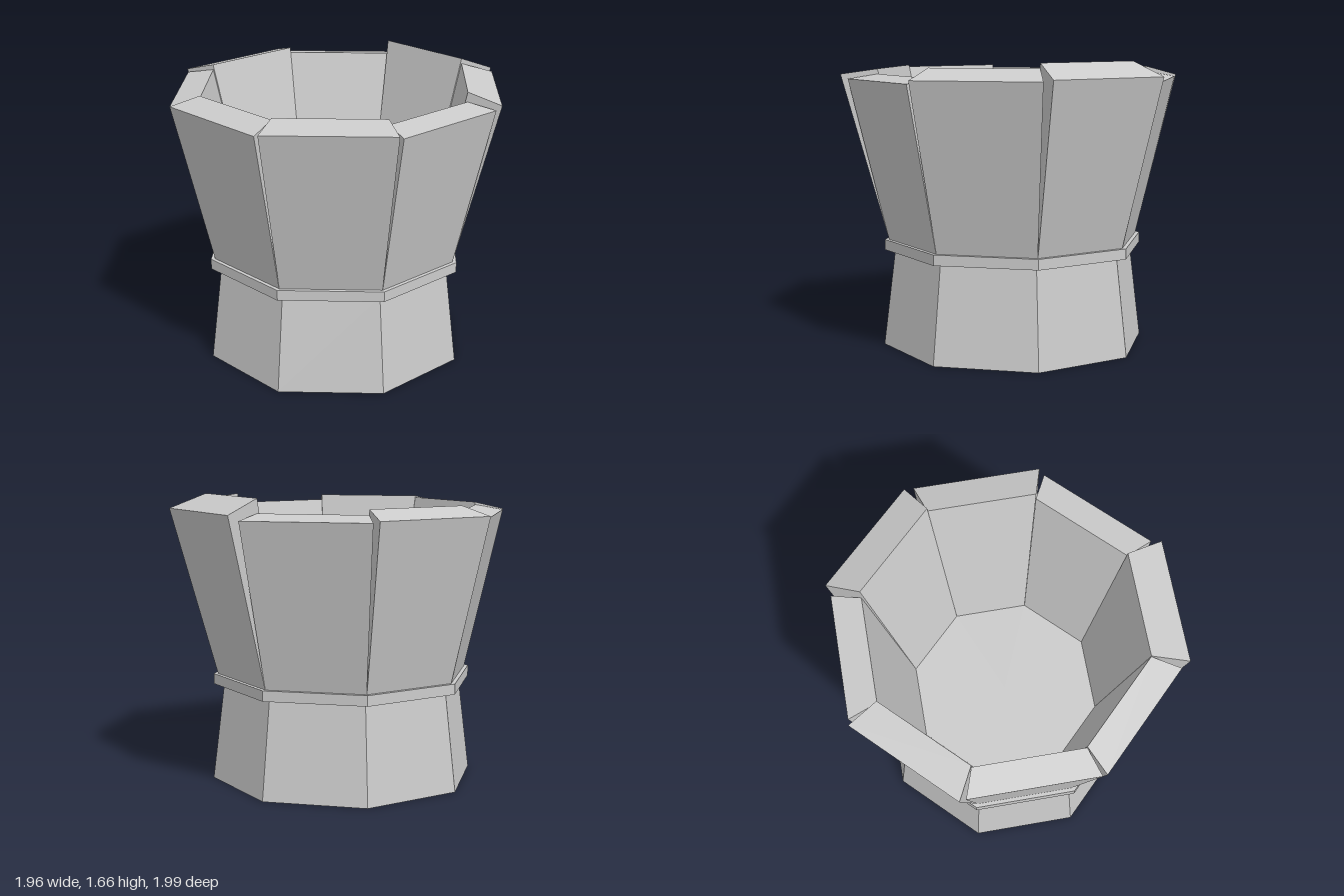
import * as THREE from 'three';

const material = new THREE.MeshStandardMaterial({ color: 0xcccccc, flatShading: true });

// Octagonal drum with its corners on the axes
function drum(name, rTop, rBottom, y0, y1) {
  const geo = new THREE.CylinderGeometry(rTop, rBottom, y1 - y0, 8).toNonIndexed();
  geo.computeVertexNormals();
  const mesh = new THREE.Mesh(geo, material);
  mesh.name = name;
  mesh.position.y = (y0 + y1) / 2;
  return mesh;
}

// Leaning wall slab: a box whose corners move to [half width, height, distance out]
function wallSlab(outerTop, outerDist, innerTop) {
  const corners = {
    outerLow: [0.281, 0.62, 0.68],
    outerHigh: [0.356, outerTop, outerDist],
    innerLow: [0.211, 0.62, 0.51],
    innerHigh: [0.302, innerTop, 0.729],
  };
  const geo = new THREE.BoxGeometry(2, 2, 2).toNonIndexed();
  const p = geo.attributes.position;
  for (let i = 0; i < p.count; i++) {
    const key = (p.getZ(i) > 0 ? 'outer' : 'inner') + (p.getY(i) > 0 ? 'High' : 'Low');
    const [w, y, z] = corners[key];
    p.setXYZ(i, Math.sign(p.getX(i)) * w, y, z);
  }
  geo.computeVertexNormals();
  return new THREE.Mesh(geo, material);
}

export function createModel() {
  const model = new THREE.Group();
  const body = new THREE.Group();
  body.name = 'planter';
  body.position.x = -0.005;
  model.add(body);

  // Tapered foot and the band that carries the bowl floor
  body.add(drum('foot', 0.7, 0.77, 0, 0.56));
  body.add(drum('band', 0.76, 0.76, 0.56, 0.62));

  // Uneven wall slabs, from front left round to the back: [outer top, outer distance, inner top]
  const slabs = [
    [1.575, 0.932, 1.605],
    [1.55, 0.889, 1.575],
    [1.57, 0.913, 1.63],
    [1.58, 0.932, 1.66],
    [1.55, 0.892, 1.58],
    [1.56, 0.91, 1.61],
    [1.55, 0.886, 1.58],
    [1.555, 0.893, 1.595],
  ];
  slabs.forEach((s, i) => {
    const slab = wallSlab(...s);
    slab.name = `wallSlab${i + 1}`;
    slab.rotation.y = (i + 0.5) * Math.PI / 4;
    body.add(slab);
  });
  return model;
}
